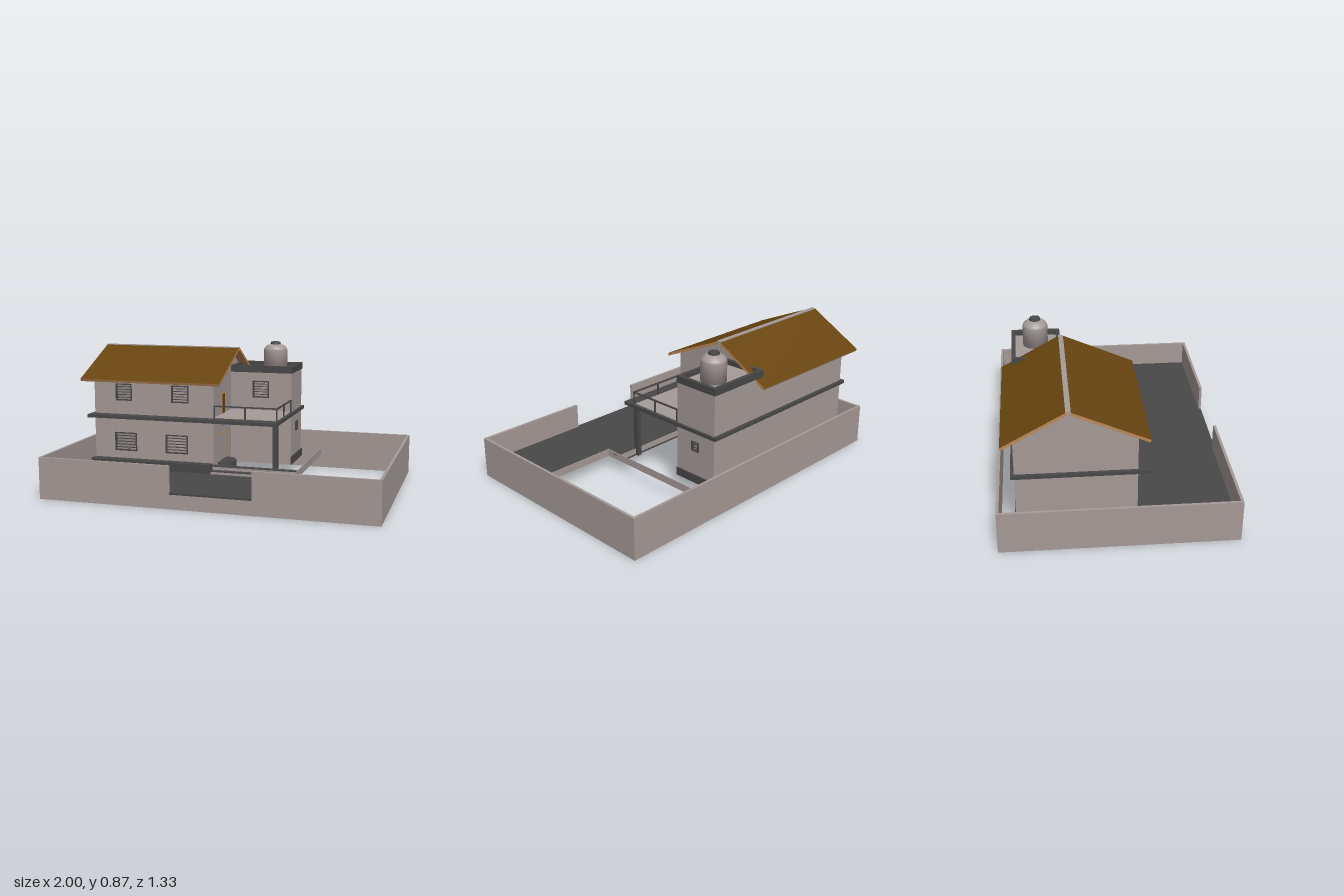
import * as THREE from 'three';

const mat = (name, hex) => {
  const m = new THREE.MeshStandardMaterial({ color: hex, side: THREE.DoubleSide });
  m.name = name;
  return m;
};

export function createModel() {
  const model = new THREE.Group();
  const plaster = mat('plaster', 0xa59a97);
  const dark = mat('dark stone', 0x484848);
  const tile = mat('roof tile', 0x684510);
  const wood = mat('light wood', 0xbb8858);

  const add = (parent, name, geo, m) => {
    const mesh = new THREE.Mesh(geo, m);
    mesh.name = name;
    parent.add(mesh);
    return mesh;
  };
  // Box from its limits on each axis
  const box = (name, m, x0, x1, y0, y1, z0, z1, parent = model) => {
    const mesh = add(parent, name, new THREE.BoxGeometry(x1 - x0, y1 - y0, z1 - z0), m);
    mesh.position.set((x0 + x1) / 2, (y0 + y1) / 2, (z0 + z1) / 2);
    return mesh;
  };
  // Upright wall from an outline, with rectangular holes [x0, x1, y0, y1]
  const T = 0.012;
  const wall = (name, pts, holes = []) => {
    const s = new THREE.Shape(pts.map(p => new THREE.Vector2(...p)));
    for (const [a, b, c, d] of holes) {
      s.holes.push(new THREE.Path([[a, c], [a, d], [b, d], [b, c]].map(p => new THREE.Vector2(...p))));
    }
    return add(model, name, new THREE.ExtrudeGeometry(s, { depth: T, bevelEnabled: false }), plaster);
  };
  const rect = (x0, x1, y0, y1) => [[x0, y0], [x1, y0], [x1, y1], [x0, y1]];
  // Louvred window centred on its own origin, facing +z
  const louvre = (name, w, h, x, y, z, turn = 0) => {
    const g = new THREE.Group();
    g.name = name;
    const f = 0.007;
    for (const s of [-1, 1]) {
      box('windowJamb', dark, s * w / 2 - f / 2, s * w / 2 + f / 2, -h / 2, h / 2, -0.01, 0.007, g);
      box('windowRail', dark, -w / 2 - f / 2, w / 2 + f / 2, s * h / 2 - f / 2, s * h / 2 + f / 2, -0.01, 0.007, g);
    }
    const n = Math.round(h / 0.017);
    for (let i = 1; i < n; i++) {
      const sy = -h / 2 + i * h / n;
      box('windowSlat', dark, -w / 2, w / 2, sy - 0.002, sy + 0.002, -0.008, 0.002, g);
    }
    g.position.set(x, y, z);
    g.rotation.y = turn;
    model.add(g);
  };

  // Perimeter wall, lower at the gateway
  const W = 0.665, B = 0.016;
  box('perimeterBack', plaster, -1, 1, 0, 0.25, -W, -W + B);
  for (const s of [-1, 1]) {
    box('perimeterSide', plaster, s < 0 ? -1 : 1 - B, s < 0 ? -1 + B : 1, 0, 0.25, -W + B, W - B);
  }
  box('perimeterFrontA', plaster, -1, -0.19, 0, 0.25, W - B, W);
  box('perimeterFrontB', plaster, 0.29, 1, 0, 0.25, W - B, W);
  box('gateSill', plaster, -0.19, 0.29, 0, 0.085, W - B, W);

  // Paving and garden-bed edging
  box('paving', dark, -0.9, 0.41, 0.085, 0.096, 0.09, W - B);
  box('paving', dark, 0.41, 1 - B, 0.085, 0.096, 0.21, W - B);
  box('gatePaving', dark, -0.19, 0.29, 0.085, 0.096, W - B, W);
  box('sidePaving', dark, 0.92, 1 - B, 0.085, 0.096, -W + B, 0.21);
  box('bedKerbSide', plaster, 0.408, 0.412, 0.085, 0.13, -W + B, 0.21);
  box('bedKerbFront', plaster, 0.41, 0.92, 0.085, 0.13, 0.206, 0.21);

  // Plinth and porch steps
  box('plinthFront', dark, -0.905, -0.112, 0.09, 0.15, 0.105, 0.16);
  box('plinthLeft', dark, -0.91, -0.9, 0.09, 0.14, -0.565, 0.105);
  box('plinthBack', dark, -0.91, 0.297, 0.09, 0.14, -0.568, -0.56);
  box('plinthTower', dark, 0.29, 0.297, 0.09, 0.14, -0.56, -0.27);
  [[0.09, 0.128, 0.14], [0.128, 0.166, 0.116]].forEach(([z0, z1, top]) => {
    box('porchStep', plaster, -0.11, 0.41, 0.096, top - 0.005, z0, z1);
    box('porchTread', dark, -0.11, 0.412, top - 0.005, top, z0, z1);
  });
  const door = add(model, 'roundDoorStep',
    new THREE.CylinderGeometry(0.09, 0.09, 0.04, 20, 1, false, 0, Math.PI), dark);
  door.position.set(-0.11, 0.12, -0.075);

  // House walls: hollow shell with window openings
  const wins = [[-0.75, -0.65, 0.52, 0.62], [-0.38, -0.275, 0.52, 0.62],
    [-0.76, -0.62, 0.2, 0.31], [-0.42, -0.28, 0.2, 0.31]];
  wall('houseFrontWall', rect(-0.9, -0.11, 0.1, 0.65), wins).position.z = 0.1 - T;
  for (const [a, b, c, d] of wins) louvre('frontWindow', b - a, d - c, (a + b) / 2, (c + d) / 2, 0.1);
  wall('houseBackWall', rect(-0.9, -0.11, 0.1, 0.65)).position.z = -0.56;
  const gable = [[-0.1, 0.1], [0.56, 0.1], [0.56, 0.652], [0.27, 0.818], [-0.1, 0.652]];
  for (const x of [-0.9, -0.11 - T]) {
    const g = wall('gableWall', gable);
    g.rotation.y = Math.PI / 2;
    g.position.x = x;
  }

  // Tower walls
  const tw = [0.04, 0.14, 0.52, 0.62];
  wall('towerFrontWall', rect(-0.11, 0.29, 0.1, 0.69), [tw]).position.z = -0.27 - T;
  louvre('towerWindow', 0.1, 0.1, 0.09, 0.57, -0.27);
  wall('towerBackWall', rect(-0.11, 0.29, 0.1, 0.69)).position.z = -0.56;
  const side = wall('towerSideWall', rect(0.27, 0.56, 0.1, 0.69), [[0.39, 0.44, 0.295, 0.348]]);
  side.rotation.y = Math.PI / 2;
  side.position.x = 0.29 - T;
  louvre('sideWindow', 0.05, 0.053, 0.29, 0.3215, -0.415, Math.PI / 2);

  // Tower roof and parapet
  box('towerRoof', plaster, -0.1, 0.28, 0.675, 0.69, -0.55, -0.28);
  box('parapetFront', dark, -0.115, 0.294, 0.677, 0.72, -0.29, -0.267);
  box('parapetBack', dark, -0.115, 0.294, 0.677, 0.72, -0.564, -0.541);
  box('parapetLeft', dark, -0.115, -0.092, 0.677, 0.72, -0.541, -0.29);
  box('parapetRight', dark, 0.271, 0.294, 0.677, 0.72, -0.541, -0.29);

  // Floor-level ledge and balcony
  box('ledgeFront', dark, -0.92, 0.305, 0.41, 0.43, 0.1, 0.17);
  box('ledgeBack', dark, -0.92, 0.305, 0.41, 0.43, -0.58, -0.56);
  box('ledgeLeft', dark, -0.92, -0.9, 0.41, 0.43, -0.56, 0.1);
  box('ledgeRight', dark, 0.29, 0.305, 0.41, 0.43, -0.56, 0.1);
  box('balconySlab', dark, -0.11, 0.29, 0.41, 0.43, -0.27, 0.1);
  box('balconyFloor', plaster, -0.11, 0.286, 0.43, 0.434, -0.27, 0.09);
  box('porchPillar', dark, 0.265, 0.292, 0.09, 0.41, 0.068, 0.105);

  // Balcony railing
  box('railFront', dark, -0.11, 0.293, 0.502, 0.51, 0.093, 0.103);
  box('railSide', dark, 0.283, 0.293, 0.502, 0.51, -0.27, 0.093);
  for (const [x, z] of [[-0.106, 0.098], [0.09, 0.098], [0.288, 0.098], [0.288, -0.083], [0.288, -0.264]]) {
    box('railPost', dark, x - 0.004, x + 0.004, 0.43, 0.502, z - 0.004, z + 0.004);
  }

  // Doors: upper panel with frame, lower outlined doorway
  const frame = (z0, z1, y0, y1) => {
    for (const z of [z0, z1]) box('doorJamb', wood, -0.112, -0.104, y0, y1, z - 0.003, z + 0.003);
    box('doorHead', wood, -0.112, -0.104, y1 - 0.003, y1 + 0.003, z0 - 0.003, z1 + 0.003);
  };
  box('balconyDoor', tile, -0.113, -0.106, 0.434, 0.56, -0.127, -0.063);
  frame(-0.127, -0.063, 0.434, 0.562);
  frame(-0.143, -0.008, 0.12, 0.312);

  // Roof: two sloping slabs, tiled on top, and a ridge strip
  const slope = (name, z0, y0, z1, y1) => {
    const len = Math.hypot(z1 - z0, y1 - y0);
    const g = new THREE.BoxGeometry(0.915, 0.016, len);
    g.translate(0, -0.008, 0);
    const m = add(model, name, g, [wood, wood, tile, wood, wood, wood]);
    m.position.set(-0.5125, (y0 + y1) / 2, (z0 + z1) / 2);
    m.rotation.x = Math.atan2(y0 - y1, z1 - z0);
  };
  slope('roofBack', -0.625, 0.64, -0.282, 0.832);
  slope('roofFront', -0.258, 0.832, 0.157, 0.65);
  box('roofRidge', plaster, -0.97, -0.055, 0.815, 0.836, -0.284, -0.256);

  // Water tank
  const profile = [[0, 0.69], [0.076, 0.69], [0.076, 0.812], [0.072, 0.825], [0.055, 0.842], [0.034, 0.85], [0, 0.85]]
    .map(p => new THREE.Vector2(...p));
  add(model, 'waterTank', new THREE.LatheGeometry(profile, 24), plaster).position.set(0.148, 0, -0.418);
  add(model, 'tankLid', new THREE.CylinderGeometry(0.031, 0.034, 0.018, 16), dark).position.set(0.148, 0.856, -0.418);

  return model;
}
